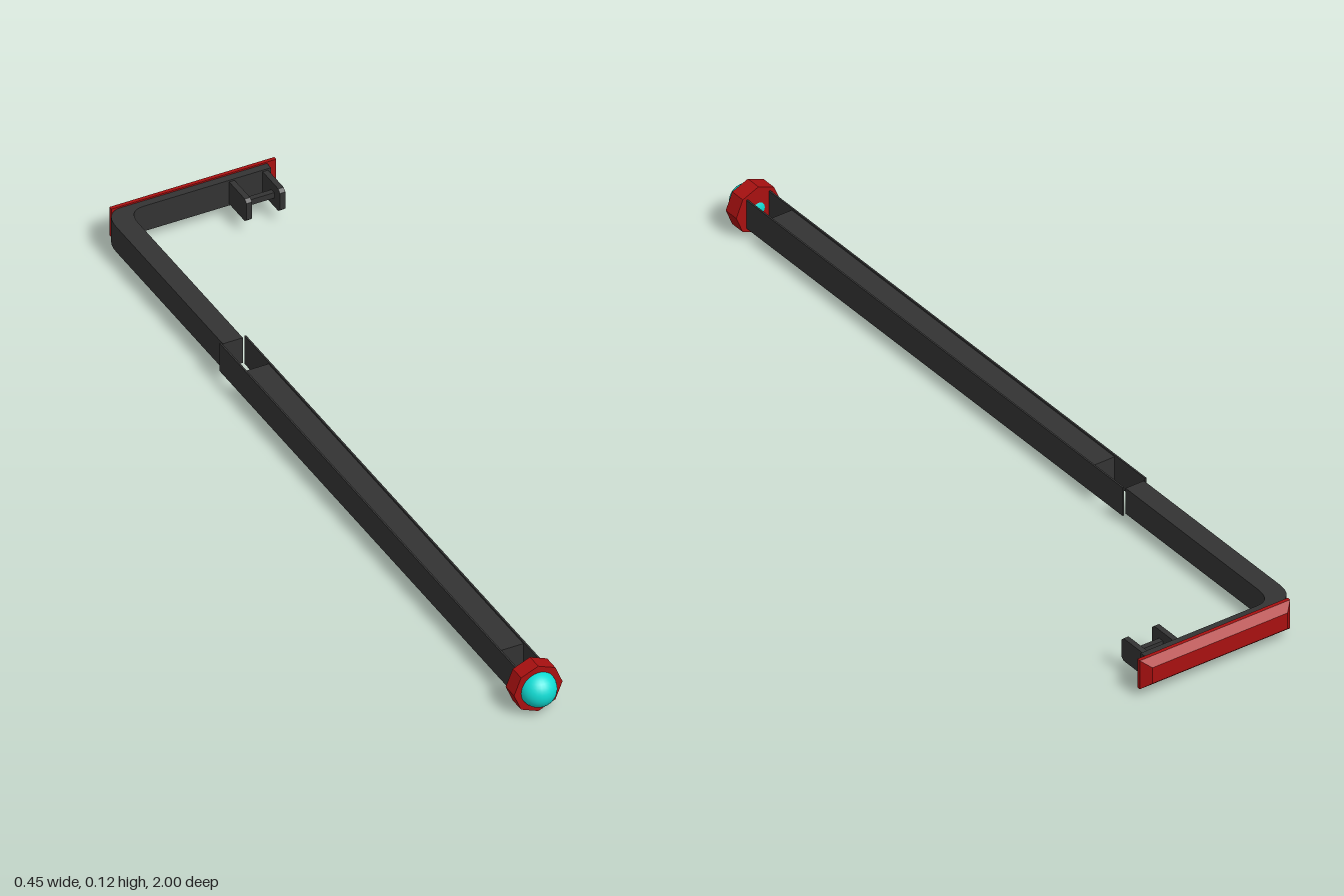
import * as THREE from 'three';

const AX = -0.167, AY = 0.0605; // axis of the long shaft

export function createModel() {
  const mat = (name, color, extra = {}) => {
    const m = new THREE.MeshStandardMaterial({ color, ...extra });
    m.name = name;
    return m;
  };
  const dark = mat('charcoal', 0x333333);
  const red = mat('red', 0xa81010);
  const cyan = mat('cyan', 0x10dcd4);

  const group = new THREE.Group();
  const add = (name, geo, material, x = 0, y = 0, z = 0) => {
    const mesh = new THREE.Mesh(geo, material);
    mesh.name = name;
    mesh.position.set(x, y, z);
    group.add(mesh);
    return mesh;
  };
  // box given by its min and max corners
  const box = (name, material, x0, x1, y0, y1, z0, z1) =>
    add(name, new THREE.BoxGeometry(x1 - x0, y1 - y0, z1 - z0), material,
      (x0 + x1) / 2, (y0 + y1) / 2, (z0 + z1) / 2);

  // outer shaft: solid core with two side walls that run past it at both ends
  box('shaftCore', dark, AX - 0.028, AX + 0.028, 0.028, 0.093, -0.32, 0.84);
  for (const s of [-1, 1]) {
    const x = AX + s * 0.0295;
    box(s < 0 ? 'rightShaftWall' : 'leftShaftWall', dark, x - 0.002, x + 0.002, 0.025, 0.097, -0.43, 0.925);
  }

  // inner rod bending into the shoulder bar, drawn in plan (x, -z)
  const plan = new THREE.Shape();
  plan.moveTo(-0.191, 0.43);
  plan.lineTo(-0.143, 0.43);
  plan.lineTo(-0.143, 0.905);
  plan.quadraticCurveTo(-0.143, 0.955, -0.105, 0.955);
  plan.lineTo(0.2, 0.955);
  plan.lineTo(0.2, 0.975);
  plan.lineTo(-0.14, 0.975);
  plan.quadraticCurveTo(-0.191, 0.975, -0.191, 0.915);
  plan.closePath();
  const rod = new THREE.ExtrudeGeometry(plan, { depth: 0.065, bevelEnabled: false, curveSegments: 8 });
  rod.rotateX(-Math.PI / 2);
  add('bentRod', rod, dark, 0, 0.028, 0);

  // red pad with chamfered rear edges: a box whose rear corners are drawn in
  box('padRim', red, -0.172, 0.222, 0.024, 0.0965, -0.982, -0.973);
  const pad = new THREE.BoxGeometry(0.394, 0.0725, 0.018).toNonIndexed();
  const p = pad.attributes.position;
  for (let i = 0; i < p.count; i++) {
    if (p.getZ(i) < 0) {
      p.setX(i, p.getX(i) - Math.sign(p.getX(i)) * 0.02);
      p.setY(i, p.getY(i) - Math.sign(p.getY(i)) * 0.016);
    }
  }
  pad.computeVertexNormals();
  add('padBack', pad, red, 0.025, 0.06025, -0.991);

  // bracket: two prongs with clipped front corners and a cross bar
  const prong = new THREE.Shape([
    [0.96, 0.032], [0.96, 0.089], [0.884, 0.089], [0.876, 0.082], [0.876, 0.039], [0.884, 0.032],
  ].map(([x, y]) => new THREE.Vector2(x, y)));
  for (const x of [0.1, 0.18]) {
    const geo = new THREE.ExtrudeGeometry(prong, { depth: 0.013, bevelEnabled: false });
    geo.rotateY(Math.PI / 2); // profile x becomes -z
    add('bracketProng', geo, dark, x, 0, 0);
  }
  box('bracketBar', dark, 0.11, 0.183, 0.054, 0.068, -0.915, -0.902);

  // octagonal collar and glowing tip
  const collar = new THREE.CylinderGeometry(0.058, 0.058, 0.038, 8);
  collar.rotateX(Math.PI / 2);
  const collarFlat = collar.toNonIndexed();
  collarFlat.computeVertexNormals();
  add('collar', collarFlat, red, AX, AY, 0.941);
  const dome = new THREE.SphereGeometry(0.041, 24, 16);
  add('domeTip', dome, cyan, AX, AY, 0.959);

  return group;
}
